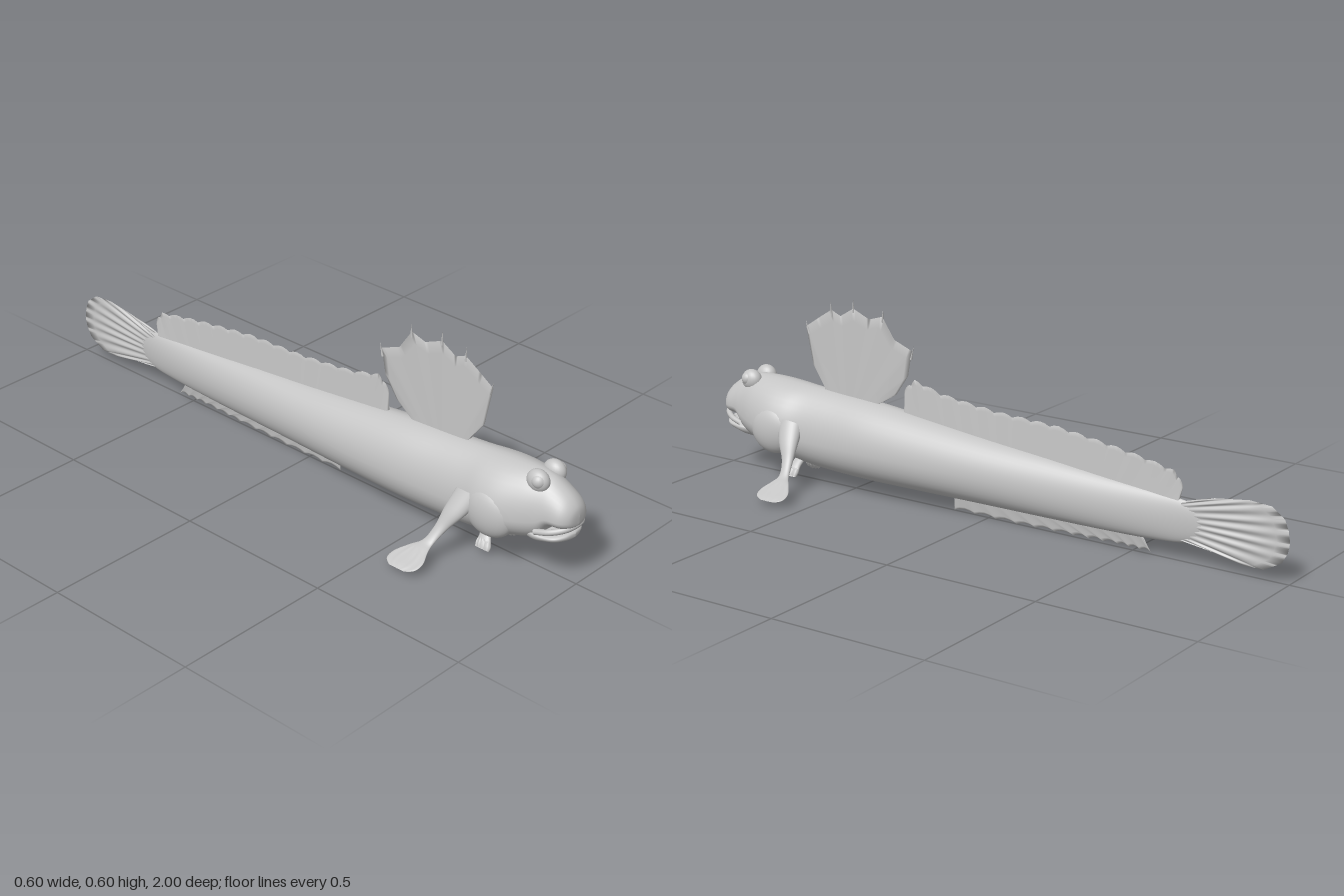
import * as THREE from 'three';
import { mergeVertices } from 'three/addons/utils/BufferGeometryUtils.js';

const skin = new THREE.MeshStandardMaterial({ color: 0xc4c4c4, side: THREE.DoubleSide });
skin.name = 'grey skin';

// Interpolate a table of rows at t in 0..1, straight or smooth
function sample(rows, t, smooth = true) {
  const f = Math.min(t, 1) * (rows.length - 1);
  const i = Math.min(Math.floor(f), rows.length - 2);
  const k = f - i;
  const at = (j) => rows[Math.max(0, Math.min(rows.length - 1, j))];
  return rows[i].map((b, c) => {
    const d = at(i + 1)[c];
    if (!smooth) return b + (d - b) * k;
    const m0 = (d - at(i - 1)[c]) / 2, m1 = (at(i + 2)[c] - b) / 2;
    return b + m0 * k + (3 * (d - b) - 2 * m0 - m1) * k * k + (2 * (b - d) + m0 + m1) * k * k * k;
  });
}

// Grid surface from a function (u, v) -> [x, y, z], with its seams welded
function surface(fn, nu, nv) {
  const pos = [], index = [];
  for (let i = 0; i <= nu; i++) for (let j = 0; j <= nv; j++) pos.push(...fn(i / nu, j / nv));
  for (let i = 0; i < nu; i++) for (let j = 0; j < nv; j++) {
    const a = i * (nv + 1) + j, b = a + nv + 1;
    index.push(a, a + 1, b, b, a + 1, b + 1);
  }
  let g = new THREE.BufferGeometry();
  g.setAttribute('position', new THREE.Float32BufferAttribute(pos, 3));
  g.setIndex(index);
  g = mergeVertices(g, 1e-5);
  g.computeVertexNormals();
  return g;
}

// Rows of [z, top, bottom, half width, height of the widest point]
function loft(rows, nu, nv, narrow = 1) {
  return surface((u, v) => {
    const [z, top, bottom, w, mid] = sample(rows, u);
    const s = Math.sin(v * Math.PI * 2), c = Math.cos(v * Math.PI * 2);
    const p = c > 0 ? narrow : 0.9;
    return [w * Math.sign(s) * Math.pow(Math.abs(s), p), mid + c * (c > 0 ? top - mid : mid - bottom), z];
  }, nu, nv);
}

// Upright fin between a base line and an outline of [z, y], thinning outwards
function fin(base, edge, nu, thick, ripple = () => 0) {
  return surface((u, v) => {
    const side = v < 0.5 ? 1 : -1;
    const k = 1 - Math.abs(2 * v - 1);
    const a = sample(base, u), b = sample(edge, u, false);
    const r = ripple(u);
    return [side * (1 - k) * (thick + r * k * 3), a[1] + (b[1] - a[1]) * k, a[0] + (b[0] - a[0]) * k];
  }, nu, 16);
}

// Flattened limb: rows of [x, y, z, half depth, half thickness]
function limb(rows) {
  return surface((u, v) => {
    const [x, y, z, d, t] = sample(rows, u);
    const a = sample(rows, Math.max(0, u - 0.02)), b = sample(rows, Math.min(1, u + 0.02));
    const dx = b[0] - a[0], dy = b[1] - a[1], l = Math.hypot(dx, dy) || 1;
    const s = Math.sin(v * Math.PI * 2), c = Math.cos(v * Math.PI * 2);
    const ray = 1 + (u > 0.6 ? 0.4 * Math.cos(c * 14) : 0);
    return [x - dy / l * s * t * ray, y + dx / l * s * t * ray, z + c * d];
  }, 32, 32);
}

// Edge with small scallops
function scallop(rows, count, depth) {
  const out = [];
  const n = count * 4;
  for (let i = 0; i <= n; i++) {
    const [z, y] = sample(rows, i / n, false);
    out.push([z, y + depth * Math.abs(Math.sin(i / 4 * Math.PI))]);
  }
  return out;
}

export function createModel() {
  const model = new THREE.Group();
  model.name = 'mudskipper';
  const add = (name, geometry, parent = model) => {
    const m = new THREE.Mesh(geometry, skin);
    m.name = name;
    parent.add(m);
    return m;
  };

  // Body, from snout to tail root
  add('body', loft([
    [0.998, 0.225, 0.205, 0.0, 0.215], [0.992, 0.252, 0.192, 0.035, 0.215],
    [0.97, 0.278, 0.184, 0.058, 0.215], [0.93, 0.305, 0.178, 0.068, 0.215],
    [0.9, 0.318, 0.135, 0.078, 0.2], [0.85, 0.325, 0.115, 0.098, 0.19],
    [0.78, 0.324, 0.1, 0.118, 0.18], [0.72, 0.32, 0.085, 0.118, 0.175],
    [0.65, 0.315, 0.068, 0.104, 0.165], [0.55, 0.308, 0.059, 0.101, 0.16],
    [0.4, 0.298, 0.055, 0.103, 0.16], [0.2, 0.276, 0.055, 0.093, 0.155],
    [0, 0.254, 0.055, 0.078, 0.15], [-0.2, 0.235, 0.054, 0.06, 0.14],
    [-0.4, 0.215, 0.054, 0.042, 0.132], [-0.57, 0.2, 0.058, 0.026, 0.128],
    [-0.68, 0.188, 0.07, 0.015, 0.13], [-0.76, 0.15, 0.11, 0.0, 0.13],
  ], 90, 40, 1.12));

  // Mouth
  add('lowerJaw', loft([
    [0.988, 0.168, 0.158, 0.0, 0.163], [0.98, 0.173, 0.15, 0.035, 0.163],
    [0.96, 0.173, 0.142, 0.06, 0.16], [0.93, 0.171, 0.134, 0.071, 0.157],
    [0.89, 0.172, 0.122, 0.074, 0.155], [0.83, 0.17, 0.115, 0.05, 0.15],
  ], 28, 28));
  const lipPath = new THREE.CatmullRomCurve3([
    [-0.07, 0.168, 0.9], [-0.062, 0.18, 0.945], [-0.036, 0.191, 0.979], [0, 0.194, 0.988],
    [0.036, 0.191, 0.979], [0.062, 0.18, 0.945], [0.07, 0.168, 0.9],
  ].map((p) => new THREE.Vector3(...p)));
  add('upperLip', new THREE.TubeGeometry(lipPath, 32, 0.009, 10));

  // Paired parts
  for (const s of [1, -1]) {
    const side = new THREE.Group();
    side.name = s > 0 ? 'leftSide' : 'rightSide';
    side.scale.x = s;
    model.add(side);

    const socket = add('eyeSocket', new THREE.SphereGeometry(1, 24, 16), side);
    socket.position.set(0.036, 0.306, 0.88);
    socket.scale.set(0.026, 0.034, 0.036);
    const eye = add('eye', new THREE.SphereGeometry(0.022, 24, 16), side);
    eye.position.set(0.043, 0.311, 0.888);

    const gill = add('gillCover', new THREE.SphereGeometry(1, 28, 20), side);
    gill.position.set(0.082, 0.178, 0.755);
    gill.scale.set(0.042, 0.078, 0.085);

    add('pectoralFin', limb([
      [0.085, 0.205, 0.685, 0.045, 0.03], [0.125, 0.155, 0.665, 0.034, 0.02],
      [0.155, 0.11, 0.645, 0.02, 0.012], [0.19, 0.073, 0.63, 0.018, 0.007],
      [0.22, 0.06, 0.62, 0.033, 0.005], [0.255, 0.045, 0.614, 0.053, 0.004],
      [0.283, 0.034, 0.61, 0.051, 0.003], [0.298, 0.028, 0.608, 0.028, 0.001],
    ]), side);
    add('pelvicFin', limb([
      [0.008, 0.1, 0.69, 0.02, 0.012], [0.024, 0.077, 0.7, 0.018, 0.01],
      [0.04, 0.055, 0.71, 0.02, 0.009], [0.053, 0.037, 0.715, 0.026, 0.009],
      [0.06, 0.026, 0.716, 0.024, 0.007],
    ]), side);
  }

  // Tall sail fin with spine tips
  add('frontDorsalFin', fin([[0.6, 0.29], [0.51, 0.29], [0.42, 0.28]], [
    [0.6, 0.31], [0.66, 0.38], [0.685, 0.5], [0.64, 0.53], [0.585, 0.565], [0.55, 0.55], [0.5, 0.58],
    [0.44, 0.555], [0.39, 0.57], [0.345, 0.505], [0.28, 0.48], [0.295, 0.4], [0.34, 0.335], [0.42, 0.295],
  ], 78, 0.009));
  for (const [z, y, tilt] of [[0.68, 0.5, 0.3], [0.586, 0.57, 0.05], [0.5, 0.59, 0], [0.388, 0.575, -0.1], [0.278, 0.475, -0.25]]) {
    const spine = add('finSpine', new THREE.ConeGeometry(0.004, 0.045, 6));
    spine.position.set(0, y, z);
    spine.rotation.x = tilt;
  }

  // Long back fin
  const backEdge = scallop([
    [0.31, 0.35], [0.27, 0.385], [0.17, 0.358], [0.07, 0.346], [-0.03, 0.336], [-0.13, 0.332],
    [-0.23, 0.328], [-0.33, 0.316], [-0.43, 0.302], [-0.53, 0.286], [-0.63, 0.266], [-0.66, 0.23],
  ], 17, 0.009);
  add('rearDorsalFin', fin([[0.31, 0.275], [0, 0.245], [-0.35, 0.21], [-0.65, 0.18]],
    [[0.31, 0.28], ...backEdge, [-0.65, 0.19]], 140, 0.008));

  // Belly fin
  const bellyEdge = scallop([[0.125, 0.012], [-0.1, 0.01], [-0.3, 0.014], [-0.45, 0.018], [-0.56, 0.016]], 12, 0.008);
  add('analFin', fin([[0.125, 0.065], [-0.2, 0.065], [-0.53, 0.065]],
    [[0.125, 0.05], ...bellyEdge, [-0.53, 0.055]], 100, 0.007));

  // Ribbed tail fan
  add('tailFin', fin([[-0.66, 0.185], [-0.67, 0.13], [-0.66, 0.075]], [
    [-0.76, 0.215], [-0.87, 0.23], [-0.94, 0.225], [-0.98, 0.195], [-0.992, 0.165], [-0.998, 0.13],
    [-0.992, 0.1], [-0.975, 0.068], [-0.92, 0.038], [-0.86, 0.038], [-0.76, 0.058],
  ], 90, 0.01, (u) => 0.0035 * Math.cos(u * Math.PI * 18)));

  return model;
}
